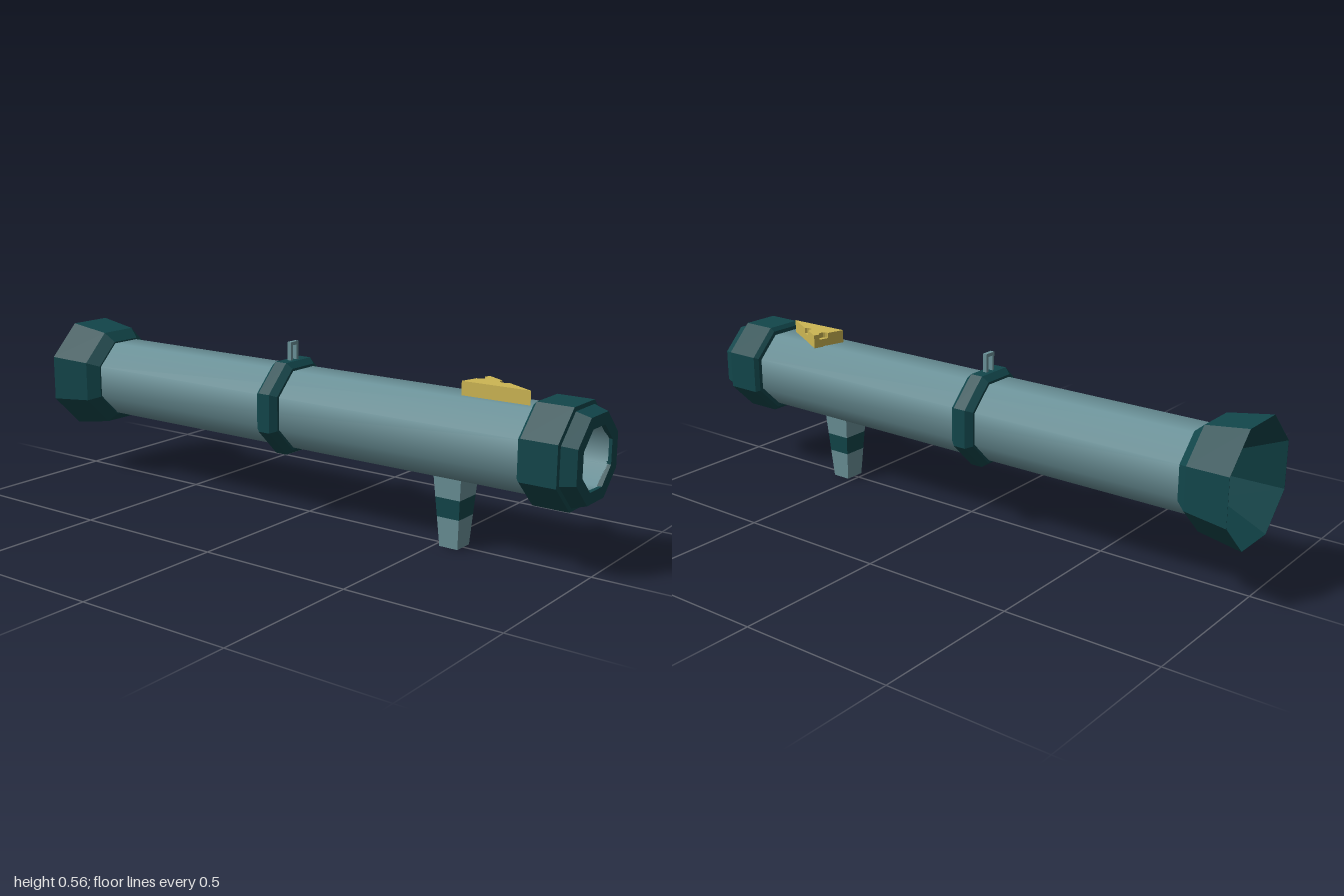
import * as THREE from 'three';

const TEAL = 0x12464b, STEEL = 0x6b9299, YELLOW = 0xcdb653;
const AXIS_Y = 0.347;

const paint = (color, flatShading = true) =>
  new THREE.MeshStandardMaterial({ color, flatShading, side: THREE.DoubleSide });

// Octagonal ring about the z axis; profile is [flat-to-centre distance, z]
function octagon(name, profile, material) {
  const pts = profile.map(([a, z]) => new THREE.Vector2(a / Math.cos(Math.PI / 8), z));
  const geo = new THREE.LatheGeometry(pts, 8, Math.PI / 8);
  geo.rotateX(Math.PI / 2);
  const mesh = new THREE.Mesh(geo, material);
  mesh.name = name;
  mesh.position.y = AXIS_Y;
  return mesh;
}

// Flat outline in x / -z, raised from y0 to y1
function slab(points, y0, y1) {
  const geo = new THREE.ExtrudeGeometry(new THREE.Shape(points), { depth: y1 - y0, bevelEnabled: false });
  geo.rotateX(-Math.PI / 2);
  geo.translate(0, y0, 0);
  return geo;
}

// Points of a round bite taken out of the edge p-q at fraction t
function bite(p, q, t, r) {
  const m = p.clone().lerp(q, t);
  const d = q.clone().sub(p).normalize();
  const n = new THREE.Vector2(-d.y, d.x);
  return Array.from({ length: 9 }, (_, k) => {
    const a = (Math.PI * k) / 8;
    return m.clone().addScaledVector(d, -r * Math.cos(a)).addScaledVector(n, r * Math.sin(a));
  });
}

function makeCheese() {
  const group = new THREE.Group();
  group.name = 'cheeseWedge';
  const a = new THREE.Vector2(-0.025, -0.575);
  const c = new THREE.Vector2(-0.021, -0.798);
  const b = new THREE.Vector2(0.085, -0.605);
  const top = [a, c, ...bite(c, b, 0.6, 0.018), b, ...bite(b, a, 0.33, 0.017)];
  const layers = [['cheeseBase', [a, c, b], 0.47, 0.497], ['cheeseTop', top, 0.497, 0.515]];
  for (const [name, pts, y0, y1] of layers) {
    const mesh = new THREE.Mesh(slab(pts, y0, y1), paint(YELLOW));
    mesh.name = name;
    group.add(mesh);
  }
  return group;
}

function makeGrip() {
  const group = new THREE.Group();
  group.name = 'grip';
  const half = (y) => 0.034 + 0.075 * y;
  const levels = [0, 0.095, 0.157, 0.235];
  for (let i = 0; i < 3; i++) {
    const [y0, y1] = [levels[i], levels[i + 1]];
    const geo = new THREE.CylinderGeometry(half(y1) * Math.SQRT2, half(y0) * Math.SQRT2, y1 - y0, 4);
    geo.rotateY(Math.PI / 4);
    geo.scale(1, 1, 0.93);
    const mesh = new THREE.Mesh(geo, paint(i === 1 ? TEAL : STEEL));
    mesh.name = ['gripBottom', 'gripBand', 'gripTop'][i];
    mesh.position.set(0, (y0 + y1) / 2, 0.55);
    group.add(mesh);
  }
  return group;
}

// Upright square loop, its feet sunk in the middle ring
function makeSight() {
  const s = new THREE.Shape();
  [[-0.02, 0.485], [-0.01, 0.485], [-0.01, 0.545], [0.01, 0.545], [0.01, 0.485],
    [0.02, 0.485], [0.02, 0.556], [-0.02, 0.556]]
    .forEach(([x, y], i) => (i ? s.lineTo(x, y) : s.moveTo(x, y)));
  const geo = new THREE.ExtrudeGeometry(s, { depth: 0.014, bevelEnabled: false });
  const mesh = new THREE.Mesh(geo, paint(STEEL));
  mesh.name = 'sight';
  mesh.position.z = -0.074;
  return mesh;
}

export function createModel() {
  const model = new THREE.Group();
  model.name = 'shoulderLauncher';
  const teal = paint(TEAL), steel = paint(STEEL, false);
  model.add(
    octagon('barrel', [[0.125, -0.84], [0.125, 0.84]], steel),
    octagon('bore', [[0.09, 0.99], [0.09, -0.86]], steel),
    octagon('muzzleCollar', [[0.12, 0.826], [0.138, 0.826], [0.15, 0.838], [0.15, 0.953],
      [0.138, 0.955], [0.125, 1], [0.09, 1], [0.09, 0.985]], teal),
    octagon('middleRing', [[0.12, -0.108], [0.133, -0.108], [0.15, -0.088], [0.15, -0.046],
      [0.133, -0.026], [0.12, -0.026]], teal),
    octagon('rearFlare', [[0.09, -0.86], [0.18, -1], [0.181, -1], [0.16, -0.858],
      [0.13, -0.822], [0.12, -0.822]], teal),
    makeGrip(),
    makeSight(),
    makeCheese(),
  );
  return model;
}
